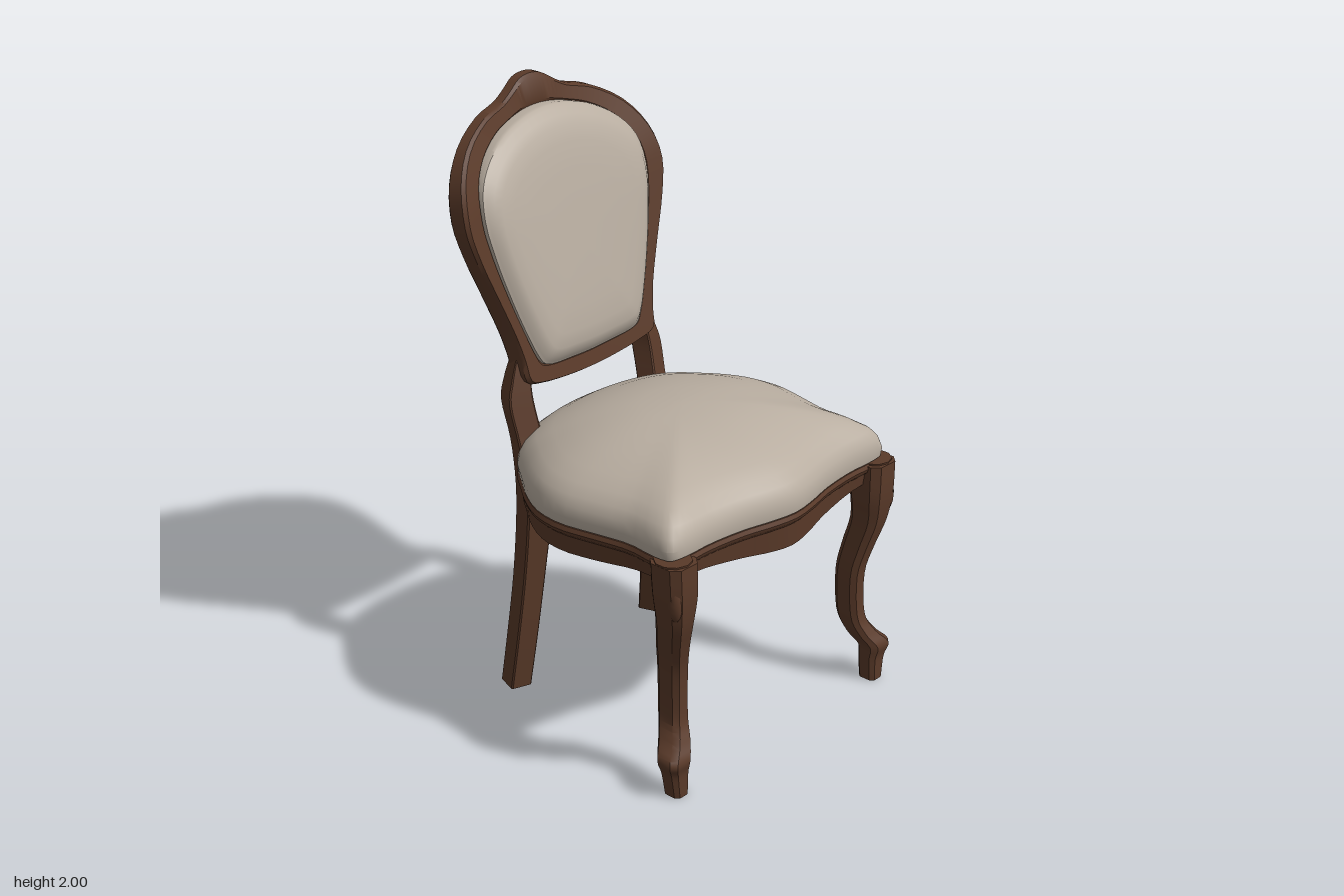
import * as THREE from 'three';
import { toCreasedNormals } from 'three/addons/utils/BufferGeometryUtils.js';

const wood = new THREE.MeshStandardMaterial({ color: 0x5a3a29 });
wood.name = 'walnut wood';
const fabric = new THREE.MeshStandardMaterial({ color: 0xb8ada0 });
fabric.name = 'cream fabric';

// Skins a list of rings; either capped at both ends or wrapped into a closed loop.
function loft(name, rings, material, { wrap = false, crease = 0.7 } = {}) {
  const n = rings[0].length, m = rings.length;
  const pos = [], idx = [];
  rings.forEach(r => r.forEach(p => pos.push(p.x, p.y, p.z)));
  for (let i = 0; i < (wrap ? m : m - 1); i++) {
    for (let j = 0; j < n; j++) {
      const k = (j + 1) % n, i1 = (i + 1) % m;
      const a = i * n + j, b = i * n + k, c = i1 * n + k, d = i1 * n + j;
      idx.push(a, b, d, b, c, d);
    }
  }
  if (!wrap) {
    for (const [row, top] of [[0, false], [m - 1, true]]) {
      const mid = rings[row].reduce((s, p) => s.add(p), new THREE.Vector3()).divideScalar(n);
      const c = pos.length / 3;
      pos.push(mid.x, mid.y, mid.z);
      for (let j = 0; j < n; j++) {
        const a = row * n + j, b = row * n + (j + 1) % n;
        idx.push(c, top ? a : b, top ? b : a);
      }
    }
  }
  const g = new THREE.BufferGeometry();
  g.setAttribute('position', new THREE.Float32BufferAttribute(pos, 3));
  g.setIndex(idx);
  const mesh = new THREE.Mesh(toCreasedNormals(g, crease), material);
  mesh.name = name;
  return mesh;
}

// Mirrors half an outline about x = 0 and samples it as a smooth closed curve.
function outline(half, count) {
  const all = [...half, ...half.slice(1, -1).reverse().map(([x, y]) => [-x, y])];
  const curve = new THREE.CatmullRomCurve3(all.map(([x, y]) => new THREE.Vector3(x, y, 0)), true);
  return Array.from({ length: count }, (_, i) => curve.getPoint(i / count));
}

// Leg through [y, centre x, centre z, half width, half depth] stations, chamfered section.
function leg(name, stations, side, rot, chamfer, steps) {
  const spline = pts => new THREE.CatmullRomCurve3(pts, false, 'catmullrom', 0.5);
  const path = spline(stations.map(s => new THREE.Vector3(s[1], s[0], s[2])));
  const size = spline(stations.map(s => new THREE.Vector3(s[3], 0, s[4])));
  const k = 1 - chamfer;
  const section = [[1, k], [1, -k], [k, -1], [-k, -1], [-1, -k], [-1, k], [-k, 1], [k, 1]];
  const c = Math.cos(rot * side), s = Math.sin(rot * side);
  const rings = [];
  for (let i = 0; i <= steps; i++) {
    const p = path.getPoint(i / steps), h = size.getPoint(i / steps);
    rings.push(section.map(([u, w]) => new THREE.Vector3(
      p.x * side + u * h.x * c + w * h.z * s, p.y, p.z - u * h.x * s + w * h.z * c)));
  }
  return loft(name, rings, wood, { crease: 0.6 });
}

// Rear surface of the raked backrest: sides curve forward, with a slight twist.
const backZ = (x, y) => -0.6 + 0.24 * (2 - y) + 0.048 * (x / 0.46) ** 2 - 0.045 * x;
// The frame thins toward the crest.
const frameDepth = y => 1 - 0.42 * THREE.MathUtils.smoothstep(y, 1.65, 1.95);

function makeBackrest() {
  const g = new THREE.Group();
  g.name = 'backrest';
  // Paired outer and inner points, from crest to bottom rail
  const pairs = [
    [0, 2.0, 0, 1.9], [0.05, 1.992, 0.045, 1.898], [0.1, 1.963, 0.09, 1.892],
    [0.15, 1.938, 0.135, 1.882], [0.25, 1.912, 0.21, 1.858], [0.37, 1.845, 0.3, 1.805],
    [0.445, 1.75, 0.36, 1.735], [0.47, 1.64, 0.38, 1.64], [0.445, 1.53, 0.363, 1.52],
    [0.39, 1.39, 0.322, 1.37], [0.338, 1.25, 0.28, 1.25], [0.32, 1.17, 0.25, 1.18],
    [0.31, 1.1, 0.225, 1.145], [0.25, 1.078, 0.19, 1.132], [0.12, 1.058, 0.1, 1.124],
    [0, 1.052, 0, 1.12],
  ];
  const N = 90;
  const outer = outline(pairs.map(p => [p[0], p[1]]), N);
  const inner = outline(pairs.map(p => [p[2], p[3]]), N);

  // Frame section: [blend from outer to inner, height above the rear surface]
  const section = [[0.12, 0.085], [0, 0.07], [0, 0.01], [0.1, 0], [1, 0], [1, 0.07], [0.85, 0.085]];
  g.add(loft('backFrame', section.map(([t, h]) => outer.map((o, i) => {
    const p = o.clone().lerp(inner[i], t);
    return p.setZ(backZ(p.x, p.y) + h * frameDepth(p.y));
  })), wood, { wrap: true, crease: 0.6 }));

  // Upholstered pad with a welted rim, domed in front and flat behind
  const rows = [[0.02, 0.143], [0.3, 0.143], [0.55, 0.141], [0.75, 0.137], [0.87, 0.129],
    [0.94, 0.117], [0.985, 0.1], [1.012, 0.092], [1.018, 0.08], [1.01, 0.05], [1.01, 0.006],
    [0.5, 0.006], [0.02, 0.006]];
  g.add(loft('backPad', rows.map(([s, h]) => inner.map(p => {
    const x = p.x * s, y = 1.5 + (p.y - 1.5) * s;
    return new THREE.Vector3(x, y, backZ(x, y) + h);
  })), fabric));
  return g;
}

function makeSeat() {
  const g = new THREE.Group();
  g.name = 'seat';
  // Plan outline from front centre round to back centre
  const plan = outline([
    [0, 0.595], [0.1, 0.58], [0.2, 0.556], [0.34, 0.54], [0.46, 0.541], [0.515, 0.528],
    [0.525, 0.47], [0.515, 0.36], [0.535, 0.24], [0.56, 0.1], [0.545, -0.01], [0.495, -0.11],
    [0.43, -0.2], [0.38, -0.265], [0.3, -0.325], [0.17, -0.365], [0, -0.38],
  ], 80);
  // Scaled copy of the plan that rounds off to an ellipse toward the middle
  const ring = (s, y) => plan.map(p => {
    const w = THREE.MathUtils.clamp((1 - s) * 1.2, 0, 1);
    const a = Math.atan2((p.y - 0.1) / 0.48, p.x / 0.55);
    const x = s * THREE.MathUtils.lerp(p.x, 0.55 * Math.cos(a), w);
    const z = 0.1 + s * THREE.MathUtils.lerp(p.y - 0.1, 0.48 * Math.sin(a), w);
    return new THREE.Vector3(x, typeof y === 'function' ? y(x, z) : y, z);
  });

  g.add(loft('seatCushion', [[0.97, 0.812], [0.99, 0.82], [0.996, 0.85], [0.98, 0.885],
    [0.945, 0.915], [0.88, 0.943], [0.78, 0.972], [0.62, 1.004], [0.45, 1.028], [0.25, 1.045],
    [0.03, 1.05]].map(([s, y]) => ring(s, y)), fabric));

  // Apron, shallower beside the front legs and deepest at the front centre
  const low = (x, z) => 0.718
    + 0.025 * Math.exp(-((Math.abs(x) - 0.45) ** 2 + (z - 0.5) ** 2) / 0.03)
    - 0.018 * Math.exp(-(x * x + (z - 0.58) ** 2) / 0.03);
  const apron = [[0.83, low], [0.965, low], [0.975, 0.78], [0.994, 0.79], [1.0, 0.802],
    [0.988, 0.816], [0.83, 0.816]];
  g.add(loft('seatApron', apron.map(([s, y]) => ring(s, y)), wood, { wrap: true, crease: 0.6 }));
  g.add(loft('seatBase', [ring(0.84, 0.77), ring(0.84, 0.79)], wood));
  return g;
}

export function createModel() {
  const chair = new THREE.Group();
  chair.name = 'diningChair';
  chair.add(makeBackrest(), makeSeat());

  const frontStations = [
    [0, 0.488, 0.532, 0.029, 0.033], [0.08, 0.492, 0.53, 0.038, 0.036],
    [0.13, 0.498, 0.532, 0.048, 0.043], [0.18, 0.464, 0.502, 0.039, 0.046],
    [0.25, 0.441, 0.475, 0.032, 0.045], [0.4, 0.438, 0.47, 0.033, 0.046],
    [0.5, 0.455, 0.486, 0.037, 0.05], [0.6, 0.474, 0.51, 0.045, 0.054],
    [0.7, 0.478, 0.515, 0.058, 0.062], [0.81, 0.482, 0.513, 0.06, 0.064],
  ];
  const backStations = [
    [0, 0.35, -0.33, 0.037, 0.042], [0.2, 0.337, -0.306, 0.038, 0.043],
    [0.4, 0.321, -0.288, 0.039, 0.044], [0.6, 0.308, -0.274, 0.043, 0.047],
    [0.75, 0.303, -0.27, 0.047, 0.049], [0.9, 0.308, -0.295, 0.044, 0.036],
    [1.03, 0.315, -0.327, 0.043, 0.036], [1.1, 0.304, -0.337, 0.034, 0.033],
    [1.17, 0.291, -0.342, 0.02, 0.025],
  ];

  for (const side of [1, -1]) {
    const label = side > 0 ? 'left' : 'right';
    chair.add(leg(label + 'FrontLeg', frontStations, side, 0, 0.4, 36));

    // Back leg continues up as the backrest post and follows its twist
    const backLeg = leg(label + 'BackLeg', backStations, side, 0.33, 0.12, 32);
    backLeg.position.set(-0.004, 0, -0.01 * side);
    chair.add(backLeg);

    // Moulded cap over the knee
    const cap = new THREE.Mesh(new THREE.CylinderGeometry(0.06, 0.056, 0.03, 10), wood);
    cap.name = label + 'KneeCap';
    cap.position.set(0.485 * side, 0.801, 0.513);
    chair.add(cap);

    // Carved leaf on the outer corner of the knee
    const leaf = new THREE.Mesh(new THREE.SphereGeometry(1, 10, 8), wood);
    leaf.name = label + 'KneeCarving';
    leaf.scale.set(0.026, 0.065, 0.026);
    leaf.position.set(0.512 * side, 0.69, 0.55);
    chair.add(leaf);
  }
  return chair;
}
